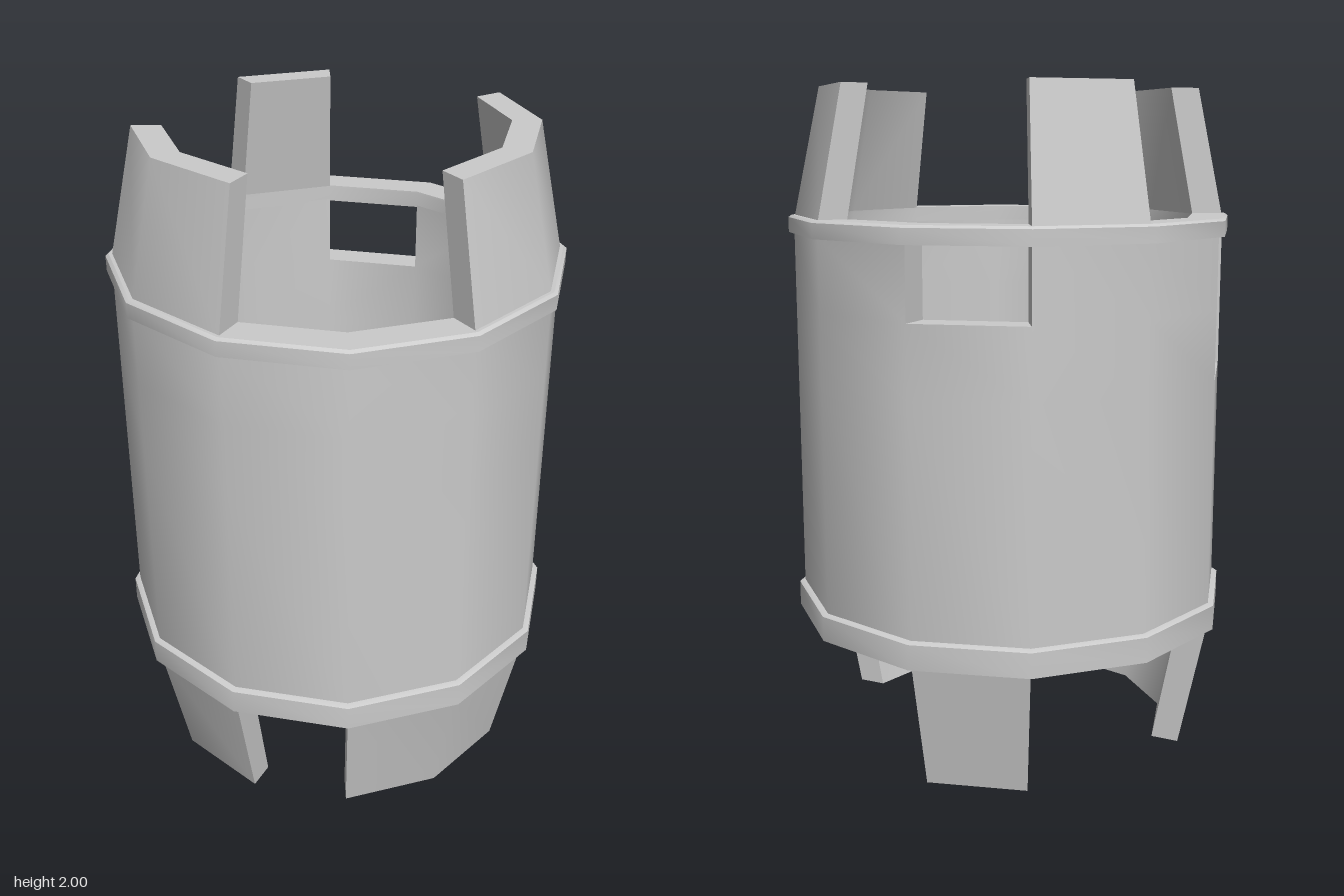
import * as THREE from 'three';
import { toCreasedNormals } from 'three/addons/utils/BufferGeometryUtils.js';

const SIDES = 12;
const INNER = 0.565;

// Twelve-sided hollow wall made of cells. levels: [y, outerRadius, innerRadius] from
// bottom to top; filled(segment, band) says which cells exist. Only exposed faces are made.
function wallGeometry(levels, filled = () => true) {
  const positions = [];
  const bands = levels.length - 1;
  const has = (k, j) => j >= 0 && j < bands && filled((k + SIDES) % SIDES, j);
  const point = (k, level, side) => {
    const a = (k / SIDES) * Math.PI * 2;
    const r = level[side];
    return [r * Math.cos(a), level[0], r * Math.sin(a)];
  };
  const quad = (a, b, c, d) => positions.push(...a, ...b, ...c, ...a, ...c, ...d);

  for (let j = 0; j < bands; j++) {
    for (let k = 0; k < SIDES; k++) {
      if (!has(k, j)) continue;
      const corner = (dk, dj, side) => point(k + dk, levels[j + dj], side);
      const o00 = corner(0, 0, 1), o01 = corner(0, 1, 1), o10 = corner(1, 0, 1), o11 = corner(1, 1, 1);
      const i00 = corner(0, 0, 2), i01 = corner(0, 1, 2), i10 = corner(1, 0, 2), i11 = corner(1, 1, 2);
      quad(o00, o01, o11, o10);
      quad(i00, i10, i11, i01);
      if (!has(k, j + 1)) quad(o01, i01, i11, o11);
      if (!has(k, j - 1)) quad(o00, o10, i10, i00);
      if (!has(k - 1, j)) quad(o00, i00, i01, o01);
      if (!has(k + 1, j)) quad(o10, o11, i11, i10);
    }
  }
  const geometry = new THREE.BufferGeometry();
  geometry.setAttribute('position', new THREE.Float32BufferAttribute(positions, 3));
  return toCreasedNormals(geometry, THREE.MathUtils.degToRad(35));
}

export function createModel() {
  const model = new THREE.Group();
  const material = new THREE.MeshStandardMaterial({ color: 0xcccccc });
  const add = (name, levels, filled) => {
    const mesh = new THREE.Mesh(wallGeometry(levels, filled), material);
    mesh.name = name;
    model.add(mesh);
  };

  // Main wall with a tall window and a short window under the upper ring
  const tallWindow = 6, shortWindow = 9;
  add('body', [0.46, 1.15, 1.36, 1.575].map((y) => [y, 0.66, INNER]),
    (k, j) => !(k === tallWindow && j >= 1) && !(k === shortWindow && j === 2));

  // Raised rings with a slight bevel towards the wall
  add('lowerRing', [[0.385, 0.677, INNER], [0.46, 0.677, INNER], [0.467, 0.662, INNER]]);
  add('upperRing', [[1.57, 0.677, INNER], [1.615, 0.677, INNER], [1.622, 0.667, INNER]]);

  // Inward-leaning teeth: [first segment, number of segments]
  const teeth = (name, levels, runs) => runs.forEach(([start, count], n) =>
    add(name + (n + 1), levels, (k) => (k - start + SIDES) % SIDES < count));
  teeth('upperTooth', [[1.62, 0.657, INNER], [2, 0.575, 0.49]], [[11, 3], [4, 2], [8, 1]]);
  teeth('lowerTooth', [[0, 0.575, 0.49], [0.386, 0.657, INNER]], [[1, 2], [4, 3], [9, 1]]);

  return model;
}
